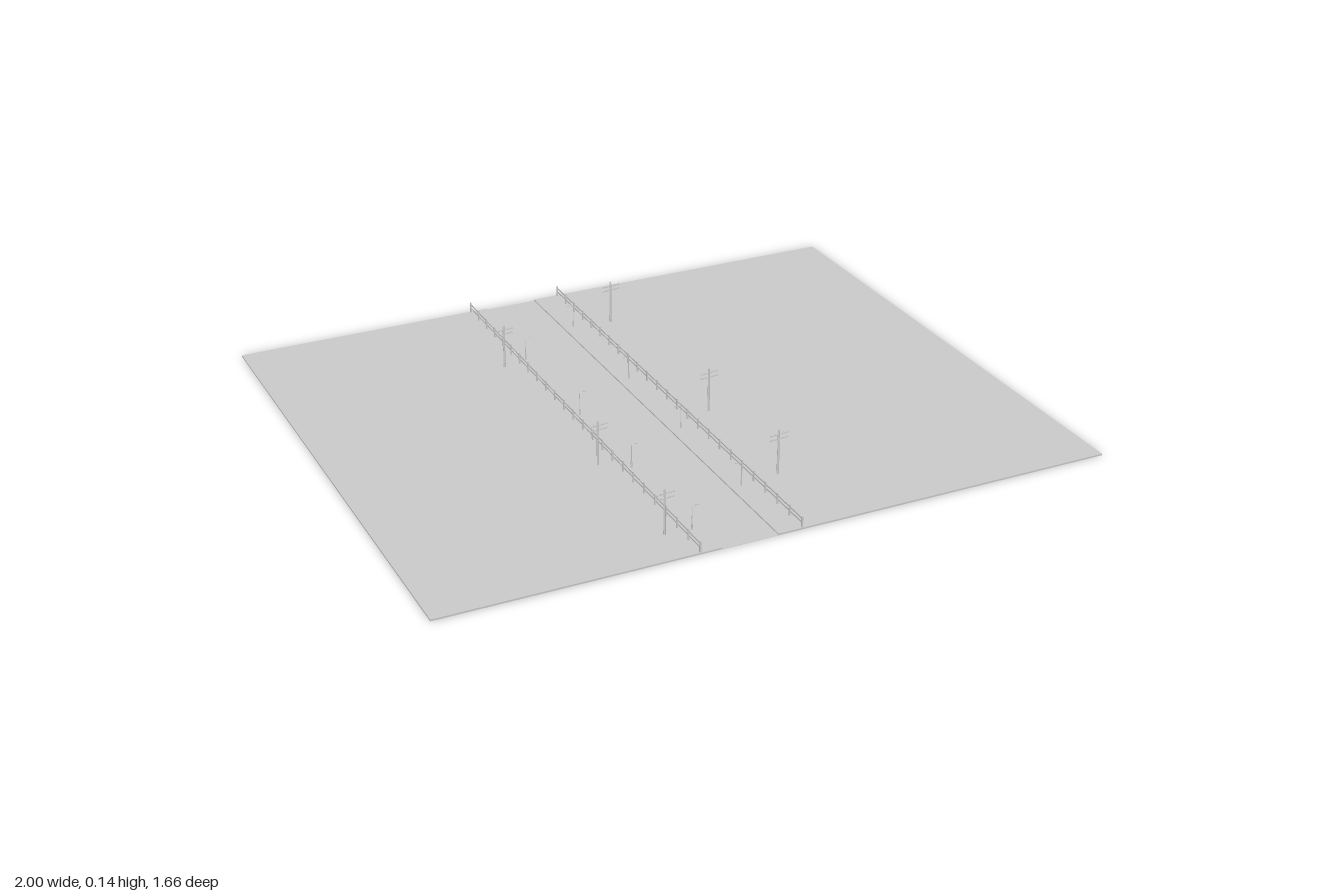
import * as THREE from 'three';

const GROUND = 0.005, HALF_Z = 0.83;
const mat = new THREE.MeshStandardMaterial({ color: 0xcccccc, flatShading: true, side: THREE.DoubleSide });

function add(parent, geo, name, x, y, z) {
  const m = new THREE.Mesh(geo, mat);
  m.name = name;
  m.position.set(x, y, z);
  parent.add(m);
  return m;
}
const box = (p, name, w, h, d, x, y, z) => add(p, new THREE.BoxGeometry(w, h, d), name, x, y, z);
// upright round post standing on its base height
const post = (p, name, rTop, rBase, h, x, y, z) =>
  add(p, new THREE.CylinderGeometry(rTop, rBase, h, 8), name, x, y + h / 2, z);

// Utility pole with two crossarms and insulators
function utilityPole(x, z) {
  const g = new THREE.Group();
  g.name = 'utilityPole';
  post(g, 'poleShaft', 0.0028, 0.0035, 0.137, 0, 0, 0);
  for (const y of [0.11, 0.124]) {
    box(g, 'crossarm', 0.06, 0.0022, 0.0025, 0, y, 0.002);
    for (const s of [-0.027, -0.014, 0.014, 0.027])
      post(g, 'insulator', 0.0008, 0.0008, 0.003, s, y + 0.001, 0.002);
  }
  g.position.set(x, GROUND - 0.001, z);
  g.rotation.y = 0.12;
  return g;
}

// Street lamp; dir is the side the arm reaches to
function streetLamp(x, z, dir) {
  const g = new THREE.Group();
  g.name = 'streetLamp';
  post(g, 'lampBase', 0.0022, 0.0025, 0.02, 0, 0, 0);
  post(g, 'lampPost', 0.001, 0.0013, 0.07, 0, 0, 0);
  const arm = new THREE.QuadraticBezierCurve3(
    new THREE.Vector3(0, 0.069, 0), new THREE.Vector3(dir * 0.002, 0.074, 0), new THREE.Vector3(dir * 0.014, 0.073, 0));
  add(g, new THREE.TubeGeometry(arm, 6, 0.0007, 5), 'lampArm', 0, 0, 0);
  box(g, 'lampHead', 0.008, 0.0018, 0.003, dir * 0.016, 0.0725, 0);
  g.position.set(x, GROUND - 0.001, z);
  return g;
}

// Post-and-rail fence, drifting slightly in x along its length
function fence(x) {
  const g = new THREE.Group();
  g.name = 'fence';
  const n = 25, len = HALF_Z * 2 - 0.004;
  const lean = 0.008 / len;
  for (let i = 0; i < n; i++) {
    const z = -len / 2 + 0.002 + (i / (n - 1)) * (len - 0.004);
    box(g, 'fencePost', 0.004, 0.034, 0.004, 0, 0.017, z);
  }
  for (const y of [0.013, 0.025]) box(g, 'fenceRail', 0.002, 0.0045, len, 0.0025, y, 0);
  g.position.set(x, GROUND - 0.001, 0);
  g.rotation.y = -lean;
  return g;
}

export function createModel() {
  const model = new THREE.Group();
  model.name = 'roadside';

  // Raised land on both sides of a sunken road
  const edges = [[-1, -0.195, 'leftLand'], [-0.03, 1, 'rightLand']];
  for (const [a, b, name] of edges)
    box(model, name, b - a, GROUND, HALF_Z * 2, (a + b) / 2, GROUND / 2, 0);
  box(model, 'road', 0.165, 0.001, HALF_Z * 2, -0.1125, 0.0005, 0);

  for (const x of [-0.254, 0.046]) model.add(fence(x));

  for (const z of [-0.41, 0.28, 0.705]) model.add(utilityPole(-0.302, z));
  for (const z of [-0.57, 0.117, 0.54]) model.add(utilityPole(0.124, z));

  for (const z of [-0.43, -0.02, 0.335, 0.712]) model.add(streetLamp(-0.225, z, 1));
  for (const z of [-0.588, -0.175, 0.18, 0.555]) model.add(streetLamp(0.003, z, -1));

  return model;
}
